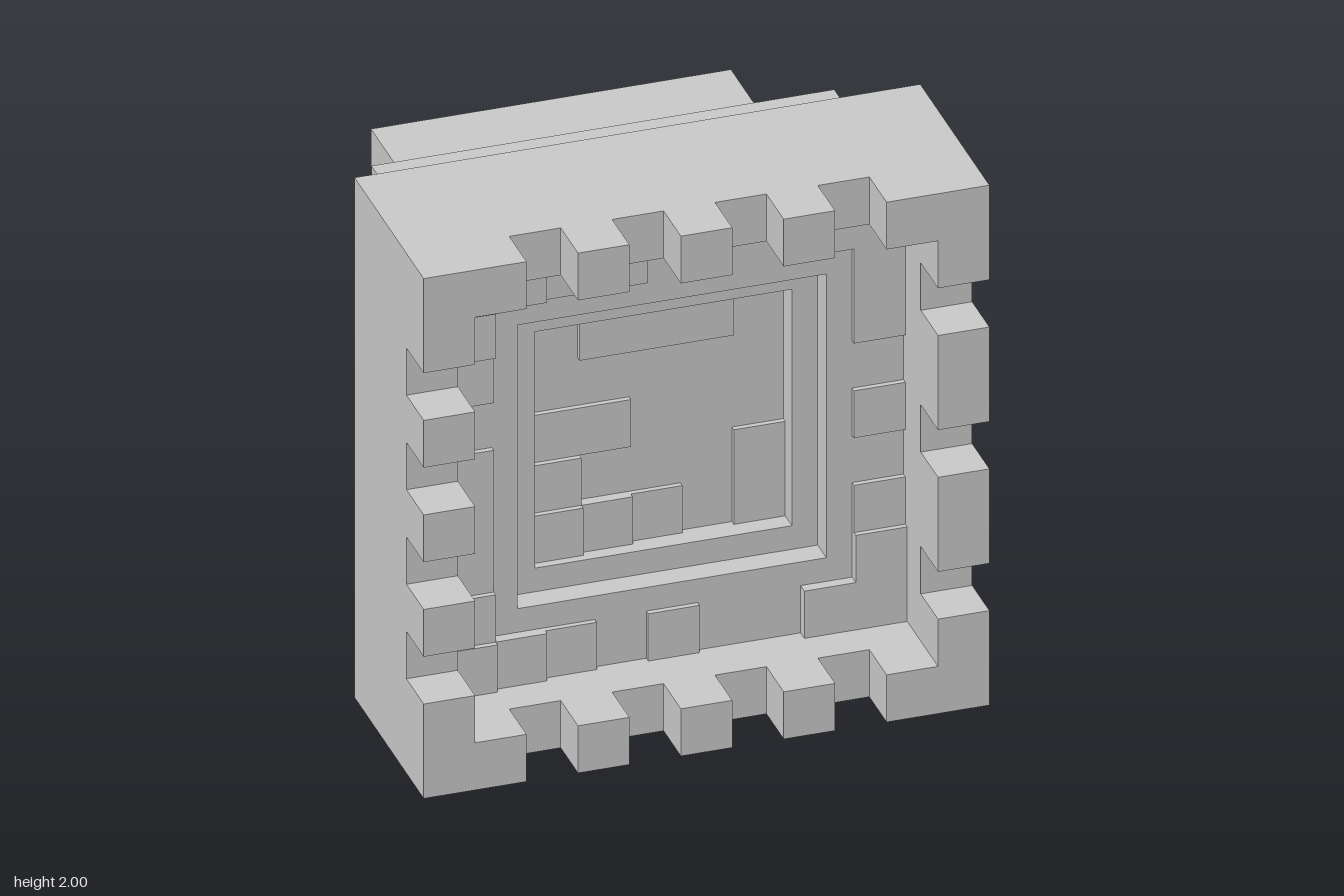
import * as THREE from 'three';

// Everything sits on an 11 x 11 cell grid; U is one cell
const U = 2 / 11;
const STEP = 0.02; // thickness of one layer of relief tile
const material = new THREE.MeshStandardMaterial({ color: 0xcccccc, flatShading: true });
const px = (c) => (c - 5.5) * U;
const py = (r) => r * U;

export function createModel() {
  const model = new THREE.Group();

  const add = (parent, name, geometry) => {
    const mesh = new THREE.Mesh(geometry, material);
    mesh.name = name;
    parent.add(mesh);
    return mesh;
  };

  const group = (name) => {
    const g = new THREE.Group();
    g.name = name;
    model.add(g);
    return g;
  };

  // Box between cell columns c0..c1, rows r0..r1 and depths z0..z1
  const block = (parent, name, [c0, c1, r0, r1], z0, z1) => {
    const g = new THREE.BoxGeometry((c1 - c0) * U, (r1 - r0) * U, z1 - z0);
    g.translate((px(c0) + px(c1)) / 2, (py(r0) + py(r1)) / 2, (z0 + z1) / 2);
    return add(parent, name, g);
  };

  // Square plate with a square opening, both given as margins in cells
  const frame = (parent, name, margin, opening, z0, z1) => {
    const corners = (m) => [[m, m], [11 - m, m], [11 - m, 11 - m], [m, 11 - m]]
      .map(([c, r]) => new THREE.Vector2(px(c), py(r)));
    const shape = new THREE.Shape(corners(margin));
    shape.holes.push(new THREE.Path(corners(opening).reverse()));
    const g = new THREE.ExtrudeGeometry(shape, { depth: z1 - z0, bevelEnabled: false });
    g.translate(0, 0, z0);
    return add(parent, name, g);
  };

  // Front body: a solid slab and frames that step down to the centre
  const body = group('frontBody');
  block(body, 'frontSlab', [0, 11, 0, 11], 0.5 * U, 1.5 * U);
  frame(body, 'innerStep', 0, 3, 1.5 * U, 2 * U);
  frame(body, 'outerStep', 0, 2.5, 2 * U, 2.5 * U);
  frame(body, 'rim', 0, 1, 2.5 * U, 3.5 * U);

  // Teeth round the rim
  const teeth = group('rimTeeth');
  const tooth = (cells) => block(teeth, 'tooth', cells, 3.5 * U, 4.5 * U);
  for (const [a, b] of [[0, 2], [3, 4], [5, 6], [7, 8], [9, 11]]) {
    tooth([a, b, 0, 1]);
    tooth([a, b, 10, 11]);
  }
  for (const [a, b] of [[1, 2], [3, 4], [5, 6], [7, 8], [9, 10]]) tooth([0, 1, a, b]);
  for (const [a, b] of [[1, 2], [3, 5], [6, 8], [9, 10]]) tooth([10, 11, a, b]);

  // Shallow relief tiles: column span, row span, number of layers
  const relief = (name, floor, tiles) => {
    const g = group(name);
    for (const [c0, c1, r0, r1, layers] of tiles) {
      block(g, 'tile', [c0, c1, r0, r1], floor, floor + layers * STEP);
    }
  };
  relief('outerTiles', 2.5 * U, [
    [1, 2, 9, 10, 3], [2, 3, 9, 10, 2], [3, 5, 9, 10, 1],   // top left corner
    [1, 2, 8, 9, 2], [1, 2, 7, 8, 1],
    [1, 2, 1, 2, 3], [2, 3, 1, 2, 2], [3, 4, 1, 2, 1],      // bottom left corner
    [1, 2, 2, 3, 2], [1, 2, 3, 6, 1],
    [8, 10, 9, 10, 1], [9, 10, 7, 9, 1],                    // top right corner
    [8, 10, 1, 2, 2], [9, 10, 2, 3, 2], [9, 10, 3, 4, 1],   // bottom right corner
    [9, 10, 5, 6, 1], [5, 6, 1, 2, 1],                      // single tiles
  ]);
  relief('innerTiles', 1.5 * U, [
    [4, 7, 7, 8, 1], [3, 5, 5, 6, 1], [3, 4, 4, 5, 2],
    [3, 4, 3, 4, 3], [4, 5, 3, 4, 2], [5, 6, 3, 4, 1],
    [7, 8, 3, 5, 1],
  ]);

  // Stepped rear
  const rear = group('rear');
  block(rear, 'middleBlock', [1, 10, 1, 10], -1.5 * U, 0.5 * U);
  block(rear, 'rearBlock', [2, 9, 2, 9], -3.5 * U, -1.5 * U);

  // Walls round the rear recess, with a gap in one side and in the bottom
  const walls = [
    [2, 9, 8, 9],               // top
    [2, 3, 2, 8],               // right
    [7, 9, 6, 8], [7, 9, 2, 5], // left, above and below its gap
    [3, 5, 2, 3], [6, 7, 2, 3], // bottom, either side of its gap
  ];
  for (const w of walls) block(rear, 'rearWall', w, -4.5 * U, -3.5 * U);

  return model;
}
